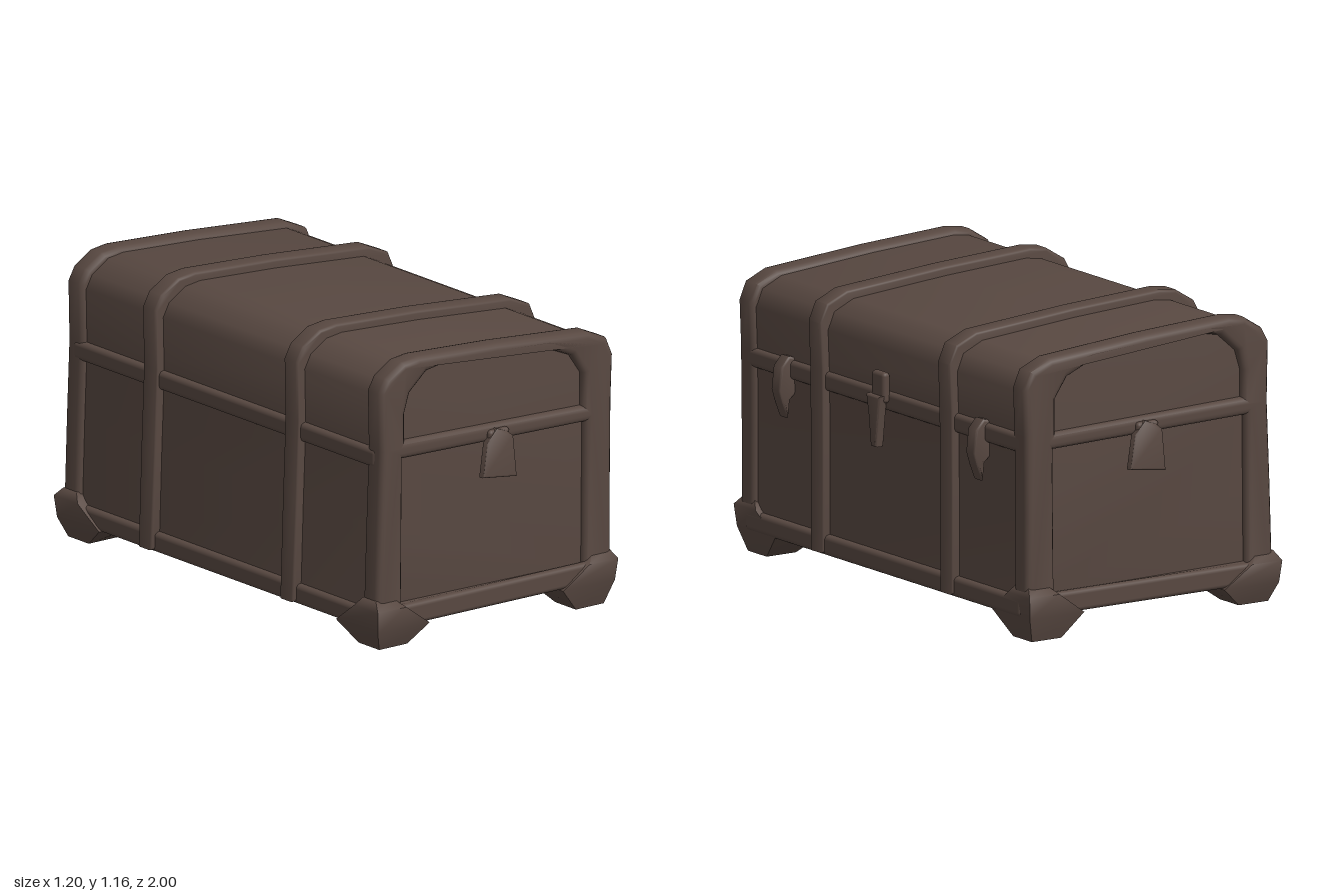
import * as THREE from 'three';
import { toCreasedNormals } from 'three/addons/utils/BufferGeometryUtils.js';
import { RoundedBoxGeometry } from 'three/addons/geometries/RoundedBoxGeometry.js';

const wood = new THREE.MeshStandardMaterial({ color: 0x584841 });
wood.name = 'dark brown wood';

// Cross-section of the chest (x, y), slightly lopsided like worn timber
const PROFILE = [
  [-0.585, 0.1], [-0.572, 0.5], [-0.56, 0.8], [-0.565, 1.03], [-0.535, 1.085], [-0.455, 1.135],
  [-0.38, 1.145], [0, 1.125], [0.44, 1.09], [0.53, 1.05], [0.56, 0.98], [0.553, 0.8], [0.55, 0.5], [0.55, 0.1],
];

// Profile grown (d > 0) or shrunk (d < 0) around the base
const section = (d) => PROFILE.map(([x, y]) => [x * (1 + d / 0.57), 0.1 + (y - 0.1) * (1 + d / 1.04)]);
const toPoints = (list) => list.map(([x, y]) => new THREE.Vector2(x, y));

// Slab of a closed outline, centred on z = 0, with softened edges
function slab(outline, thickness, bevel, holes = []) {
  const shape = new THREE.Shape(toPoints(outline));
  holes.forEach((h) => shape.holes.push(new THREE.Path(toPoints(h))));
  const geo = new THREE.ExtrudeGeometry(shape, {
    depth: thickness - 2 * bevel, bevelEnabled: true, bevelThickness: bevel,
    bevelSize: bevel, bevelOffset: -bevel, bevelSegments: 3,
  });
  geo.translate(0, 0, -(thickness - 2 * bevel) / 2);
  return toCreasedNormals(geo, 0.8);
}

// Corner foot: stacked rectangles [y, inner x, outer x, inner z, outer z]
function footGeometry(sx, sz) {
  const out = sx < 0 ? 0.045 : 0;
  const levels = [
    [sx < 0 ? 0.02 : 0, 0.385, 0.52, 0.82, 0.945], [0.095, 0.3, 0.55, 0.72, 0.975],
    [0.18, 0.42, 0.558, 0.84, 0.985], [0.215, 0.46, 0.54, 0.87, 0.95],
  ];
  const geo = new THREE.BoxGeometry(1, 1, 1, 1, 3, 1);
  const p = geo.attributes.position;
  for (let i = 0; i < p.count; i++) {
    const [y, xi, xo, zi, zo] = levels[Math.round((p.getY(i) + 0.5) * 3)];
    const x = p.getX(i) * sx > 0 ? xo : xi;
    const z = p.getZ(i) * sz > 0 ? zo : zi;
    p.setXYZ(i, sx * (x + out), y, sz * z);
  }
  return toCreasedNormals(geo.toNonIndexed(), 1.1);
}

export function createModel() {
  const chest = new THREE.Group();
  chest.name = 'chest';
  const add = (name, geo, x = 0, y = 0, z = 0, parent = chest) => {
    const mesh = new THREE.Mesh(geo, wood);
    mesh.name = name;
    mesh.position.set(x, y, z);
    parent.add(mesh);
    return mesh;
  };

  // Panelled body and lid
  add('body', slab(section(-0.02), 1.86, 0.02));

  // End frames with a lower panel opening and a lid opening
  const lower = [[-0.46, 0.185], [0.42, 0.175], [0.425, 0.735], [-0.455, 0.755]];
  const upper = [[-0.445, 0.825], [0.415, 0.8], [0.415, 0.93], [0.36, 1.01], [0.24, 1.06],
    [-0.28, 1.09], [-0.34, 1.08], [-0.42, 1.01], [-0.445, 0.93]];
  const frame = slab(section(0), 0.1, 0.025, [lower, upper]);
  for (const s of [-1, 1]) add('endFrame', frame, 0, 0, s * 0.91);

  // Straps around the body
  const strap = slab(section(0.016), 0.085, 0.012);
  for (const z of [0.425, -0.435]) add('strap', strap, 0, 0, z);

  // Long rails: seam below the lid and bottom edge
  const seam = new RoundedBoxGeometry(0.05, 0.075, 1.84, 3, 0.02);
  const base = new RoundedBoxGeometry(0.06, 0.08, 1.84, 3, 0.02);
  for (const s of [-1, 1]) {
    add('lidRail', seam, s < 0 ? -0.54 : 0.528, 0.765, 0);
    add('baseRail', base, s < 0 ? -0.556 : 0.526, 0.13, 0);
    add('endBaseRail', new RoundedBoxGeometry(1.08, 0.085, 0.04, 3, 0.018), -0.02, 0.14, s * 0.95);
  }

  // Feet
  for (const sx of [-1, 1]) for (const sz of [-1, 1]) add('foot', footGeometry(sx, sz));

  // End clasps: leaning plates with a triangular cut
  const claspPlate = slab(
    [[-0.1, -0.08], [0.06, -0.1], [0.055, 0.06], [0.03, 0.08], [-0.02, 0.1], [-0.07, 0.05]], 0.035, 0.008,
    [[[-0.05, 0.045], [0.01, 0.035], [-0.02, -0.05]]]);
  for (const s of [-1, 1]) {
    const clasp = new THREE.Group();
    clasp.name = 'endClasp';
    add('claspPlate', claspPlate, 0, 0, 0, clasp).rotation.x = -0.1;
    add('claspKnuckle', new RoundedBoxGeometry(0.1, 0.06, 0.045, 2, 0.015), -0.005, 0.065, -0.018, clasp);
    clasp.position.set(0, 0.7, s * 0.972);
    clasp.rotation.y = s > 0 ? 0 : Math.PI;
    chest.add(clasp);
  }

  // Centre latch: hinge block with a pointed tongue
  const latch = new THREE.Group();
  latch.name = 'centreLatch';
  add('latchTongue', slab([[-0.05, 0.06], [-0.035, -0.02], [-0.02, -0.14], [0.015, -0.14], [0.04, 0.06]], 0.04, 0.01),
    0, 0.73, 0.022, latch);
  add('latchHinge', new RoundedBoxGeometry(0.085, 0.12, 0.035, 3, 0.015), 0, 0.82, 0.006, latch);
  latch.position.x = 0.556;
  latch.rotation.y = Math.PI / 2;
  chest.add(latch);

  // Side hasps: narrow hooked tongues, drawn in side profile
  const hasp = slab([[-0.04, 0.1], [0, 0.11], [0.035, 0.07], [0.045, -0.02], [0.03, -0.07],
    [0.005, -0.13], [-0.005, -0.06], [-0.04, -0.03]], 0.06, 0.01);
  for (const z of [0.645, -0.65]) add('sideHasp', hasp, 0.557, 0.71, z);

  return chest;
}
